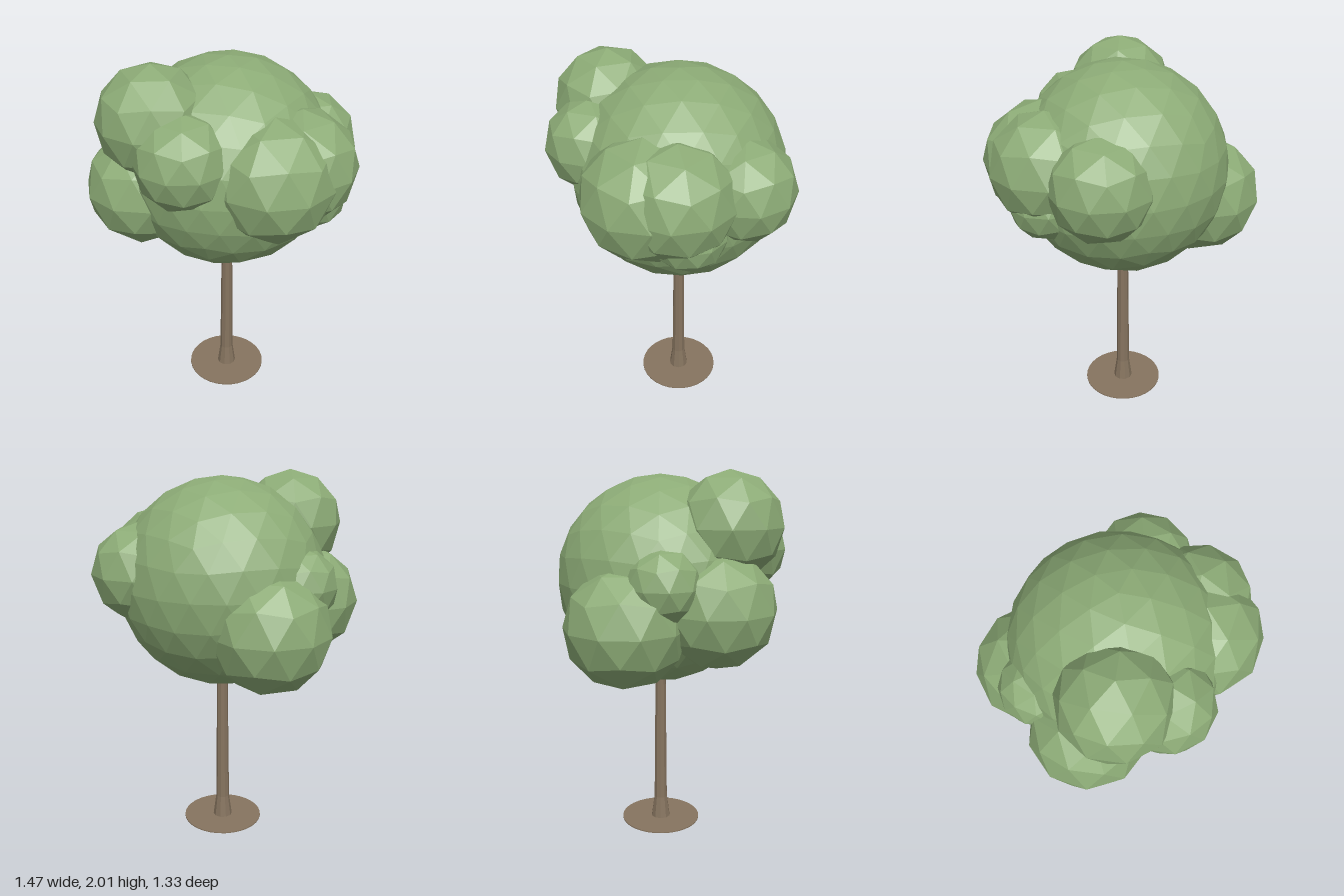
import * as THREE from 'three';

export function createModel() {
  const tree = new THREE.Group();
  tree.name = 'tree';
  const leaf = new THREE.MeshStandardMaterial({ color: 0x8cab76, flatShading: true });
  leaf.name = 'leaf green';
  const bark = new THREE.MeshStandardMaterial({ color: 0x86745f, flatShading: true });
  bark.name = 'bark brown';

  const add = (name, geometry, material, x, y, z) => {
    const mesh = new THREE.Mesh(geometry, material);
    mesh.name = name;
    mesh.position.set(x, y, z);
    tree.add(mesh);
    return mesh;
  };

  // Faceted ball with one corner pointing straight up
  const ball = (radius, detail) => new THREE.IcosahedronGeometry(radius, detail).rotateX(-1.0172);

  // Thin disc of soil
  const cx = 0.012, cz = -0.022;
  add('soilDisc', new THREE.CylinderGeometry(0.225, 0.225, 0.006, 32), bark, cx, 0.003, cz);

  // Tapered trunk with a flared foot, running up into the crown
  const profile = [[0.055, 0.003], [0.038, 0.13], [0.03, 0.9], [0.026, 1.2]]
    .map(([r, y]) => new THREE.Vector2(r, y));
  add('trunk', new THREE.LatheGeometry(profile, 10), bark, cx, 0, cz);

  // Main crown
  add('crown', ball(0.562, 3), leaf, cx, 1.425, cz);

  // Smaller leaf clumps: name, x, y, z, radius, turn
  const clumps = [
    ['upperFrontClump', -0.08, 1.725, 0.38, 0.285, 0.3],
    ['frontLeftClump', 0.16, 1.595, 0.39, 0.245, 0.9],
    ['lowerFrontClump', -0.21, 1.315, 0.36, 0.31, 0.1],
    ['rightClump', -0.42, 1.235, -0.06, 0.32, 0.6],
    ['smallRightClump', -0.42, 1.45, 0.14, 0.2, 1.1],
    ['leftClump', 0.415, 1.485, 0.04, 0.32, 0.4],
    ['leftBackClump', 0.43, 1.51, -0.13, 0.295, 0.8],
    ['smallLeftClump', 0.45, 1.35, -0.19, 0.195, 0.2],
    ['backClump', 0.215, 1.49, -0.4, 0.27, 0.5],
  ];
  for (const [name, x, y, z, r, turn] of clumps) {
    add(name, ball(r, 1), leaf, x, y, z).rotation.y = turn;
  }
  return tree;
}
